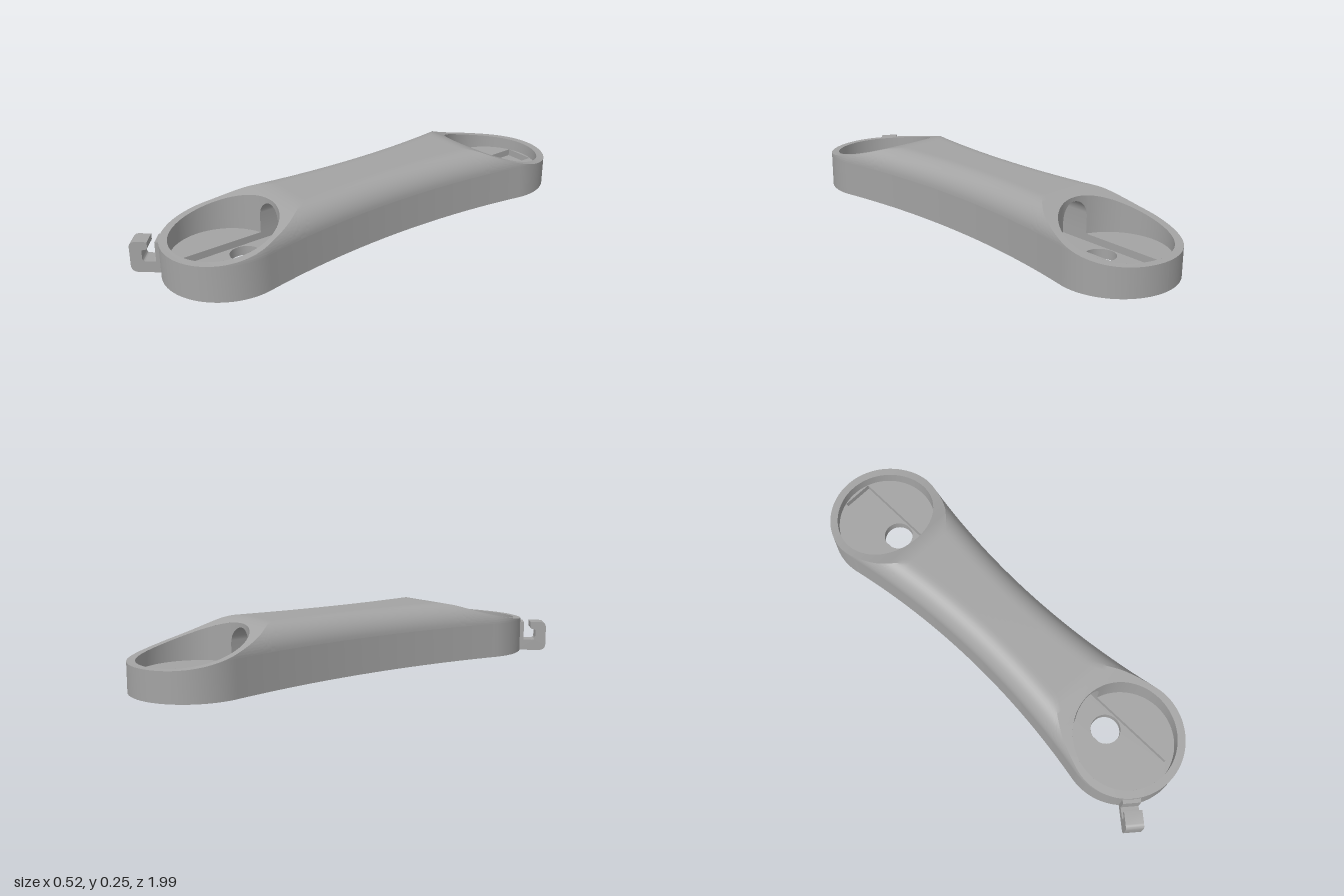
import * as THREE from 'three';
import { toCreasedNormals } from 'three/addons/utils/BufferGeometryUtils.js';

const R = 0.25, POCKET = 0.217;            // end discs and their round pockets
const BACK = -0.75, FRONT = 0.69, MID = -0.03;
const TOP = 0.252, FILLET = 0.1;
const FLOOR = 0.07, SLOT_FLOOR = 0.04, SLOT = 0.068;
const SLOT_ENDS = [-0.955, 0.87];
const HOLES = [-0.68, 0.6], HOLE_R = 0.063;
const ENDS = [{ c: BACK, dir: 1, name: 'back' }, { c: FRONT, dir: -1, name: 'front' }];

const chord = (r, d) => Math.sqrt(Math.max(0, r * r - d * d));

// half width of the waisted outline: large concave arcs tangent to the end discs
const WAIST = 0.178, HALF = (FRONT - BACK) / 2;
const ARC = (WAIST ** 2 + HALF ** 2 - R * R) / (2 * (R - WAIST));
const TANGENT = HALF * ARC / (ARC + R);
function halfWidth(z) {
  const d = Math.abs(z - MID);
  return d < TANGENT ? WAIST + ARC - chord(ARC, d) : chord(R, d - HALF);
}

// side profile of the top: flat middle sweeping down to both ends
function profile(z) {
  const t = FRONT + R - z, b = z - (BACK - R);
  const y = z < MID ? 0.12 + 0.53 * b * b : 0.145 + 0.047 * t + 0.327 * t * t;
  const k = 0.02, h = Math.max(k - Math.abs(y - TOP), 0) / k;
  return Math.min(y, TOP) - h * h * k / 4;
}

// top height, with the long edges rounded over
function topY(x, z) {
  const d = halfWidth(z) - Math.abs(x);
  const round = TOP - FILLET + chord(FILLET, Math.max(0, FILLET - d));
  return Math.min(profile(z), round);
}

const pocketHalf = z => Math.max(chord(POCKET, z - BACK), chord(POCKET, z - FRONT));

// stations along z, bunched where circles begin and end
const stations = [];
const breaks = [BACK - R, BACK - POCKET, BACK + POCKET, FRONT - POCKET, FRONT + POCKET, FRONT + R];
[14, 56, 60, 56, 14].forEach((n, i) => {
  for (let j = i ? 1 : 0; j <= n; j++) {
    const t = (1 - Math.cos(Math.PI * j / n)) / 2;
    stations.push(breaks[i] + (breaks[i + 1] - breaks[i]) * t);
  }
});

// surface through rows of points
function patch(rows) {
  const n = rows[0].length, index = [];
  for (let i = 0; i < rows.length - 1; i++) {
    for (let j = 0; j < n - 1; j++) {
      const a = i * n + j, b = a + n;
      index.push(a, b, a + 1, b, b + 1, a + 1);
    }
  }
  const g = new THREE.BufferGeometry();
  g.setAttribute('position', new THREE.Float32BufferAttribute(rows.flat(2), 3));
  g.setIndex(index);
  return toCreasedNormals(g, 0.45);
}

// half of the top skin, from the centre line or pocket edge to the outline
function topRow(z, side) {
  const w = halfWidth(z), inner = Math.min(w, pocketHalf(z));
  const rise = Math.min(FILLET, Math.max(0, profile(z) - (TOP - FILLET)));
  const crease = Math.max(inner, w - (FILLET - chord(FILLET, rise)));
  const row = [];
  for (let i = 0; i <= 6; i++) row.push(inner + (crease - inner) * i / 6);
  for (let i = 1; i <= 12; i++) row.push(crease + (w - crease) * (1 - (1 - i / 12) ** 2));
  return row.map(x => [side * x, topY(x, z), z]);
}

const flat = (shape, y) => new THREE.ShapeGeometry(shape, 48).rotateX(Math.PI / 2).translate(0, y, 0);

function addHoles(shape) {
  for (const z of HOLES) shape.holes.push(new THREE.Path().absarc(0, z, HOLE_R, 0, Math.PI * 2, true));
  return shape;
}

export function createModel() {
  const grey = new THREE.MeshStandardMaterial({ color: 0xa3a3a3, side: THREE.DoubleSide });
  grey.name = 'grey';
  const model = new THREE.Group();
  model.name = 'linkArm';
  const body = new THREE.Group();
  body.name = 'body';
  body.position.x = 0.006;
  model.add(body);
  const add = (name, geometry) => {
    const mesh = new THREE.Mesh(geometry, grey);
    mesh.name = name;
    body.add(mesh);
    return mesh;
  };

  // outer skin
  for (const side of [1, -1]) {
    const label = side > 0 ? 'left' : 'right';
    const top = stations.map(z => topRow(z, side));
    const wall = stations.map(z => {
      const w = halfWidth(z);
      return [[side * w, topY(w, z), z], [side * w, 0, z]];
    });
    // reversed rows keep the faces outward on the mirrored side
    add(label + 'Top', patch(side > 0 ? top : top.reverse()));
    add(label + 'Wall', patch(side > 0 ? wall : wall.reverse()));
  }

  // underside with the two bolt holes
  const outline = stations.map(z => new THREE.Vector2(halfWidth(z), z));
  const mirrored = outline.slice(1, -1).reverse().map(p => new THREE.Vector2(-p.x, p.y));
  add('underside', flat(addHoles(new THREE.Shape(outline.concat(mirrored))), 0));

  // round pockets: wall, arched opening into the tunnel, and floor
  const a0 = Math.asin(SLOT / POCKET);
  ENDS.forEach(({ c, dir, name }, e) => {
    const ring = (from, to, n, bottom) => {
      const rows = [];
      for (let i = 0; i <= n; i++) {
        const a = from + (to - from) * i / n;
        const x = POCKET * Math.sin(a), z = c + dir * POCKET * Math.cos(a);
        rows.push([[x, bottom(x), z], [x, topY(x, z), z]]);
      }
      return patch(dir > 0 ? rows : rows.reverse());
    };
    add(name + 'PocketWall', ring(a0, Math.PI * 2 - a0, 80, () => FLOOR));
    add(name + 'PocketArch', ring(-a0, a0, 24, x => 0.15 + chord(SLOT, x)));

    const floor = new THREE.Shape();
    const mouth = dir * Math.PI / 2;
    floor.absarc(0, c, POCKET, mouth + a0, mouth + Math.PI * 2 - a0, false);
    floor.lineTo(dir * SLOT, SLOT_ENDS[e]);
    floor.lineTo(-dir * SLOT, SLOT_ENDS[e]);
    add(name + 'PocketFloor', flat(floor, FLOOR));

    const bore = new THREE.CylinderGeometry(HOLE_R, HOLE_R, SLOT_FLOOR, 48, 1, true);
    add(name + 'BoltHole', bore.translate(0, SLOT_FLOOR / 2, HOLES[e]));
  });

  // slot running the full length beneath the tunnel
  const [s0, s1] = SLOT_ENDS;
  const corners = [[-SLOT, s0], [SLOT, s0], [SLOT, s1], [-SLOT, s1], [-SLOT, s0]];
  const slot = new THREE.Shape(corners.slice(0, 4).map(p => new THREE.Vector2(...p)));
  add('slotFloor', flat(addHoles(slot), SLOT_FLOOR));
  add('slotWalls', patch(corners.map(([x, z]) => [[x, SLOT_FLOOR, z], [x, FLOOR, z]])));

  // arched tunnel joining the pockets
  const section = [[-SLOT, FLOOR]];
  for (let i = 0; i <= 24; i++) {
    const a = Math.PI * (1 - i / 24);
    section.push([SLOT * Math.cos(a), 0.15 + SLOT * Math.sin(a)]);
  }
  section.push([SLOT, FLOOR]);
  add('tunnel', patch(section.map(([x, y]) =>
    [[x, y, BACK + chord(POCKET, x)], [x, y, FRONT - chord(POCKET, x)]])));

  // cable hook on the front disc: back plate, base and curled outer lip
  const h = new THREE.Shape();
  h.moveTo(-0.015, 0);
  h.lineTo(0.092, 0);
  h.quadraticCurveTo(0.122, 0, 0.122, 0.03);
  h.lineTo(0.122, 0.106);
  h.quadraticCurveTo(0.122, 0.132, 0.096, 0.132);
  h.lineTo(0.05, 0.132);
  h.lineTo(0.05, 0.112);
  h.quadraticCurveTo(0.05, 0.098, 0.064, 0.098);
  h.lineTo(0.074, 0.095);
  h.lineTo(0.074, 0.062);
  h.quadraticCurveTo(0.074, 0.048, 0.06, 0.048);
  h.lineTo(0.02, 0.048);
  h.lineTo(0.02, 0.132);
  h.lineTo(-0.015, 0.132);
  const hookGeometry = new THREE.ExtrudeGeometry(h, { depth: 0.074, bevelEnabled: false, curveSegments: 8 });
  const hook = add('hook', toCreasedNormals(hookGeometry.translate(0.245, 0, -0.037), 0.5));
  hook.position.z = FRONT;
  hook.rotation.y = Math.atan2(-0.76, -0.65);
  return model;
}
